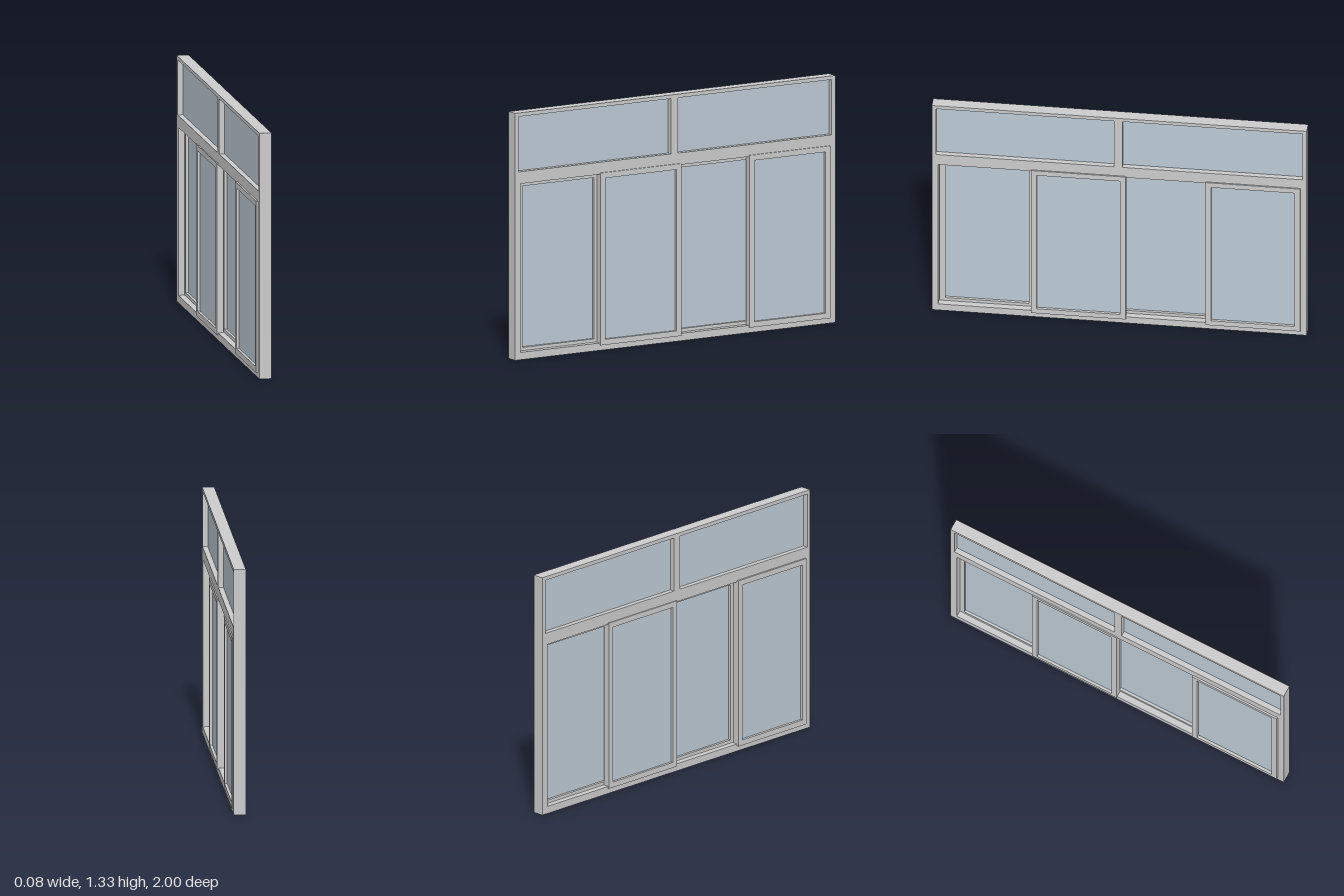
import * as THREE from 'three';

const frameMat = new THREE.MeshStandardMaterial({ color: 0xcccccc });
const glassMat = new THREE.MeshStandardMaterial({ color: 0xbccad5 });

// Rectangles are [z0, z1, y0, y1]; drawn with shape x = -z, then turned to face +x.
function trace(path, [z0, z1, y0, y1]) {
  path.moveTo(-z1, y0);
  path.lineTo(-z0, y0);
  path.lineTo(-z0, y1);
  path.lineTo(-z1, y1);
  path.closePath();
  return path;
}

// Rectangular frame with openings, spanning x0..x1 in thickness
function frame(name, outer, openings, x0, x1) {
  const shape = trace(new THREE.Shape(), outer);
  openings.forEach(o => shape.holes.push(trace(new THREE.Path(), o)));
  const geo = new THREE.ExtrudeGeometry(shape, { depth: x1 - x0, bevelEnabled: false });
  geo.rotateY(Math.PI / 2).translate(x0, 0, 0);
  const mesh = new THREE.Mesh(geo, frameMat);
  mesh.name = name;
  return mesh;
}

// Thin pane filling an opening
function pane(name, [z0, z1, y0, y1], x) {
  const mesh = new THREE.Mesh(new THREE.BoxGeometry(0.008, y1 - y0, z1 - z0), glassMat);
  mesh.position.set(x, (y0 + y1) / 2, (z0 + z1) / 2);
  mesh.name = name;
  return mesh;
}

export function createModel() {
  const model = new THREE.Group();
  model.name = 'slidingWindow';

  // Outer frame: two fixed lights above one wide sliding opening
  const lights = [[0.027, 0.979, 1.015, 1.313], [-0.977, -0.017, 1.015, 1.313]];
  const slideway = [-0.962, 0.966, 0.04, 0.95];
  model.add(frame('outerFrame', [-1, 1, 0, 1.333], [...lights, slideway], -0.032, 0.032));
  lights.forEach((l, i) => model.add(pane('fixedGlass' + (i + 1), l, 0)));

  // Four sliding sashes, alternating between the two tracks
  const sashes = [
    [0.455, 0.963, -0.042, -0.004],
    [-0.035, 0.471, 0.002, 0.039],
    [-0.508, 0, -0.038, -0.002],
    [-0.966, -0.46, 0.002, 0.039],
  ];
  const border = 0.031;
  sashes.forEach(([z0, z1, x0, x1], i) => {
    const sash = new THREE.Group();
    sash.name = 'sash' + (i + 1);
    const opening = [z0 + border, z1 - border, 0.058, 0.928];
    sash.add(frame('sashFrame', [z0, z1, 0.028, 0.958], [opening], x0, x1));
    sash.add(pane('sashGlass', opening, (x0 + x1) / 2));
    model.add(sash);
  });
  return model;
}
